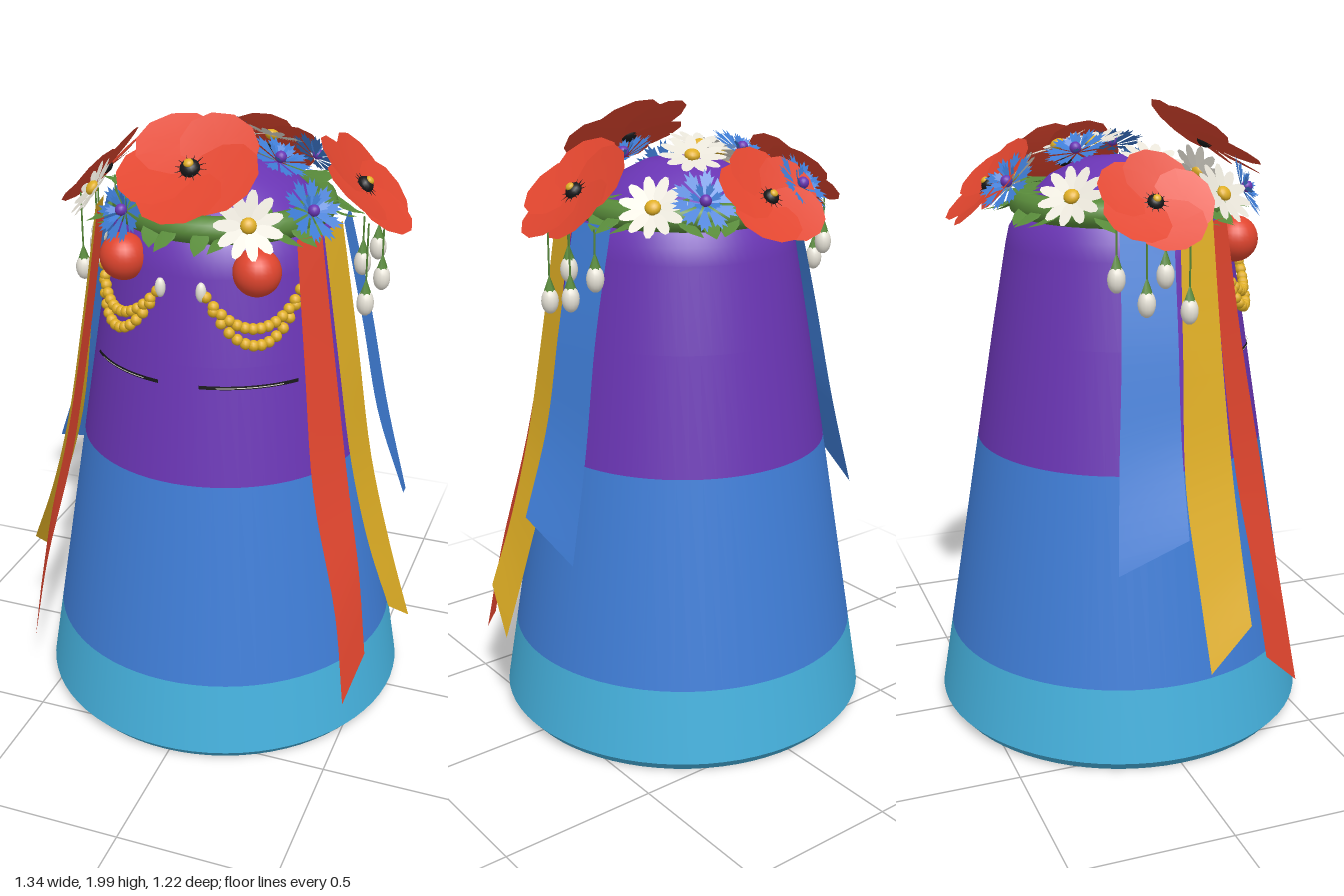
import * as THREE from 'three';
import { mergeGeometries } from 'three/addons/utils/BufferGeometryUtils.js';

const CX = -0.015; // axis of the body
const V = (x, y, z) => new THREE.Vector3(x, y, z);
const UP = V(0, 1, 0);

function mat(name, color, side = THREE.FrontSide) {
  const m = new THREE.MeshStandardMaterial({ color, side });
  m.name = name;
  return m;
}

export function createModel() {
  const D = THREE.DoubleSide;
  const purple = mat('purple', 0x6a35b4);
  const blue = mat('blue', 0x3f7dd6, D);
  const cyan = mat('cyan', 0x45b0dc);
  const red = mat('red', 0xe0452e, D);
  const gold = mat('gold', 0xdfae24, D);
  const white = mat('white', 0xf2eee2, D);
  const green = mat('green', 0x588a3a, D);
  const black = mat('black', 0x18181a);

  const root = new THREE.Group();
  const add = (name, geo, material, parent = root) => {
    const m = new THREE.Mesh(geo, material);
    m.name = name;
    parent.add(m);
    return m;
  };
  const lathe = (name, pts, material, phi = 0, len = Math.PI * 2) => {
    const geo = new THREE.LatheGeometry(pts.map(p => new THREE.Vector2(...p)), 72, phi, len);
    add(name, geo, material).position.x = CX;
  };
  const bodyRadius = y => 0.61 - (y - 0.035) * 0.162;

  // Tapered body in colour bands
  lathe('baseDisc', [[0, 0], [0.58, 0]], cyan);
  lathe('baseBevel', [[0.58, 0], [0.61, 0.035]], cyan);
  lathe('lowerBand', [[0.61, 0.035], [bodyRadius(0.27), 0.27]], cyan);
  lathe('middleBand', [[bodyRadius(0.27), 0.27], [bodyRadius(0.93), 0.93]], blue);
  lathe('upperBody', [[bodyRadius(0.93), 0.93], [bodyRadius(1.3), 1.3], [0.36, 1.56], [0.349, 1.61],
    [0.325, 1.65], [0.29, 1.7], [0.22, 1.77], [0.12, 1.82], [0, 1.835]], purple);

  // Closed eyelid lines
  for (const start of [0.157, -0.9]) {
    const r = bodyRadius(1.24) + 0.003;
    lathe('eyelid', [[r, 1.235], [r - 0.001, 1.246]], black, start, 0.743);
    lathe('eyelidGleam', [[r + 0.002, 1.239], [r + 0.002, 1.242]], white, start + 0.12, 0.5);
  }

  // Wreath ring and leaves
  const ring = new THREE.TorusGeometry(0.308, 0.042, 10, 48).rotateX(Math.PI / 2);
  add('wreathRing', ring, green).position.set(CX, 1.692, 0);
  const leafShape = new THREE.Shape();
  leafShape.moveTo(0, 0);
  leafShape.quadraticCurveTo(0.055, 0.055, 0, 0.14);
  leafShape.quadraticCurveTo(-0.055, 0.055, 0, 0);
  const leafParts = [];
  for (let i = 0; i < 44; i++) {
    const g = new THREE.ShapeGeometry(leafShape, 4).rotateX(Math.PI / 2); // points to +z
    const p = g.attributes.position;
    for (let k = 0; k < p.count; k++) p.setY(k, -Math.abs(p.getX(k)) * 0.4);
    g.computeVertexNormals();
    g.rotateX(i % 2 ? 0.45 : 0.0).rotateY((i % 3 - 1) * 0.75);
    g.translate(0, i % 2 ? 1.715 : 1.745, i % 2 ? 0.31 : 0.255).rotateY(i * Math.PI / 22);
    leafParts.push(g);
  }
  add('wreathLeaves', mergeGeometries(leafParts), green).position.x = CX;

  // Flowers are made facing +y, then turned to a direction
  const place = (name, pos, dir) => {
    const g = new THREE.Group();
    g.name = name;
    g.position.set(...pos);
    g.quaternion.setFromUnitVectors(UP, V(...dir).normalize());
    root.add(g);
    return g;
  };
  const around = (n, make) => mergeGeometries(
    Array.from({ length: n }, (_, i) => make(i).rotateY(i * 2 * Math.PI / n)));
  const ball = (r, sy = 1) => new THREE.SphereGeometry(r, 14, 10).scale(1, sy, 1);

  function poppy(pos, dir, R) {
    const g = place('poppy', pos, dir);
    const petals = around(5, i => {
      const p = new THREE.CircleGeometry(1, 11).rotateX(-Math.PI / 2)
        .scale(0.6 * R, 1, 0.52 * R).translate(0, 0, 0.49 * R);
      const a = p.attributes.position;
      for (let k = 0; k < a.count; k++) {
        const d = Math.hypot(a.getX(k), a.getZ(k)) / R;
        a.setY(k, 0.1 * R * d * d + a.getX(k) * 0.1 + (i % 2) * 0.004);
      }
      p.computeVertexNormals();
      return p;
    });
    add('poppyPetals', petals, red, g);
    const spikes = around(12, () => new THREE.ConeGeometry(0.02 * R, 0.2 * R, 4)
      .rotateX(Math.PI / 2).translate(0, 0.05 * R, 0.14 * R));
    add('poppyStamens', spikes, black, g);
    add('poppyHeart', ball(0.14 * R, 0.8), black, g).position.y = 0.05 * R;
    add('poppyTip', ball(0.07 * R, 0.7), gold, g).position.y = 0.15 * R;
  }

  function daisy(pos, dir) {
    const g = place('daisy', pos, dir);
    const petals = around(11, i => new THREE.CircleGeometry(1, 10).rotateX(-Math.PI / 2)
      .scale(0.018, 1, 0.042).translate(0, 0.002 * (i % 2), 0.062).rotateX(-0.12));
    add('daisyPetals', petals, white, g);
    add('daisyHeart', ball(0.024, 0.7), gold, g).position.y = 0.008;
  }

  const frill = new THREE.Shape([[0, 0.01], [0.022, 0.085], [0.012, 0.08], [0.009, 0.105], [0, 0.088],
    [-0.009, 0.105], [-0.012, 0.08], [-0.022, 0.085]].map(p => new THREE.Vector2(...p)));
  function cornflower(pos, dir) {
    const g = place('cornflower', pos, dir);
    const petals = mergeGeometries([
      around(10, () => new THREE.ShapeGeometry(frill).rotateX(Math.PI / 2).rotateX(-0.2)),
      around(7, () => new THREE.ShapeGeometry(frill).scale(0.6, 0.6, 1).rotateX(Math.PI / 2).rotateX(-0.65))]);
    add('cornflowerPetals', petals, blue, g);
    add('cornflowerHeart', ball(0.018), purple, g).position.y = 0.018;
  }

  poppy([-0.015, 1.86, 0.29], [0, 0.83, 0.56], 0.215);
  poppy([0.41, 1.765, -0.04], [0.7, 0.71, 0], 0.195);
  poppy([-0.43, 1.74, -0.04], [-0.7, 0.71, 0], 0.178);
  poppy([-0.015, 1.755, -0.415], [0, 0.7, -0.71], 0.175);
  for (const [x, y, z, up] of [[-0.305, 1.75, -0.248, 0.8], [0.287, 1.735, -0.255, 0.8],
    [-0.365, 1.745, 0.2, 0.75], [0.18, 1.735, 0.35, 0.4],
    [-0.015, 1.87, -0.085, 4], [0.078, 1.855, -0.167, 2.2], [-0.195, 1.825, 0.043, 2]]) {
    const r = Math.hypot(x, z);
    daisy([x, y, z], [x / r, up, z / r]);
  }
  for (const [x, y, z, up] of [[-0.2, 1.735, 0.34, 0.45], [0.315, 1.74, 0.19, 0.75],
    [0.17, 1.84, 0.046, 2], [-0.107, 1.855, -0.167, 2],
    [-0.15, 1.775, -0.39, 0.8], [0.17, 1.75, -0.345, 0.8]]) {
    const r = Math.hypot(x, z);
    cornflower([x, y, z], [x / r, up, z / r]);
  }

  // Ribbons: two edge curves with a strip between them
  function ribbon(name, edgeA, edgeB, material, mirror) {
    const curve = pts => new THREE.CatmullRomCurve3(
      pts.map(([x, y, z]) => V(mirror ? -x - 0.03 : x, y, z)));
    const a = curve(edgeA), b = curve(edgeB), N = 20, pos = [], idx = [];
    for (let i = 0; i <= N; i++) {
      pos.push(...a.getPoint(i / N).toArray(), ...b.getPoint(i / N).toArray());
      const k = i * 2;
      if (i < N) idx.push(...(mirror ? [k, k + 1, k + 2, k + 1, k + 3, k + 2]
        : [k, k + 2, k + 1, k + 1, k + 2, k + 3]));
    }
    const g = new THREE.BufferGeometry();
    g.setAttribute('position', new THREE.Float32BufferAttribute(pos, 3));
    g.setIndex(idx);
    g.computeVertexNormals();
    add(name, g, material);
  }

  for (const mirror of [false, true]) {
    ribbon('redRibbon',
      [[0.29, 1.67, 0.235], [0.335, 1.3, 0.275], [0.39, 0.9, 0.33], [0.485, 0.5, 0.37], [0.53, 0.2, 0.41]],
      [[0.345, 1.67, 0.165], [0.4, 1.3, 0.18], [0.465, 0.9, 0.21], [0.525, 0.6, 0.25], [0.565, 0.32, 0.285]], red, mirror);
    ribbon('yellowRibbon',
      [[0.35, 1.68, 0.165], [0.41, 1.3, 0.175], [0.47, 0.95, 0.19], [0.54, 0.68, 0.2], [0.617, 0.465, 0.205]],
      [[0.375, 1.68, 0.05], [0.435, 1.3, 0.04], [0.495, 0.9, 0.03], [0.575, 0.6, 0.045], [0.655, 0.345, 0.057]], gold, mirror);
    ribbon('blueRibbon',
      [[0.375, 1.67, 0.03], [0.445, 1.35, 0.02], [0.505, 1.05, 0.01], [0.6, 0.77, 0.0]],
      [[0.35, 1.67, -0.13], [0.425, 1.35, -0.15], [0.49, 1.0, -0.18], [0.565, 0.67, -0.21]], blue, mirror);

    const s = mirror ? -1 : 1;
    // Berry under the wreath
    add('berry', new THREE.SphereGeometry(0.072, 24, 16), red).position.set(CX + s * 0.21, 1.585, 0.31);

    // Bead swags with a pearl at each end
    const beads = [];
    for (const depth of [0.095, 0.145]) {
      for (let i = 0; i <= 13; i++) {
        const t = i / 13, phi = 0.2 + t * 0.76;
        const y = 1.515 - depth * (1 - (2 * t - 1) ** 2), r = bodyRadius(y) + 0.015;
        beads.push(new THREE.SphereGeometry(0.0175, 10, 8)
          .translate(CX + s * Math.sin(phi) * r, y, Math.cos(phi) * r));
      }
    }
    add('beadSwag', mergeGeometries(beads), gold);
    for (const phi of [0.165, 1.0]) {
      add('swagPearl', ball(0.016, 1.9), white)
        .position.set(CX + s * Math.sin(phi) * 0.388, 1.53, Math.cos(phi) * 0.388);
    }

    // Pearl drops hanging at the side
    for (const [x, y, z] of [[0.47, 1.43, 0.05], [0.44, 1.535, -0.015], [0.485, 1.465, -0.09], [0.45, 1.535, -0.17]]) {
      const g = new THREE.Group();
      g.name = 'pearlDrop';
      g.position.set(CX + s * x, y, z);
      root.add(g);
      add('pearl', ball(0.027, 1.5), white, g);
      add('pearlLeaf', new THREE.ConeGeometry(0.018, 0.05, 6), green, g).position.y = 0.055;
      const top = 1.68 - y;
      add('thread', new THREE.CylinderGeometry(0.003, 0.003, top, 5), green, g).position.y = top / 2;
    }
  }
  return root;
}
